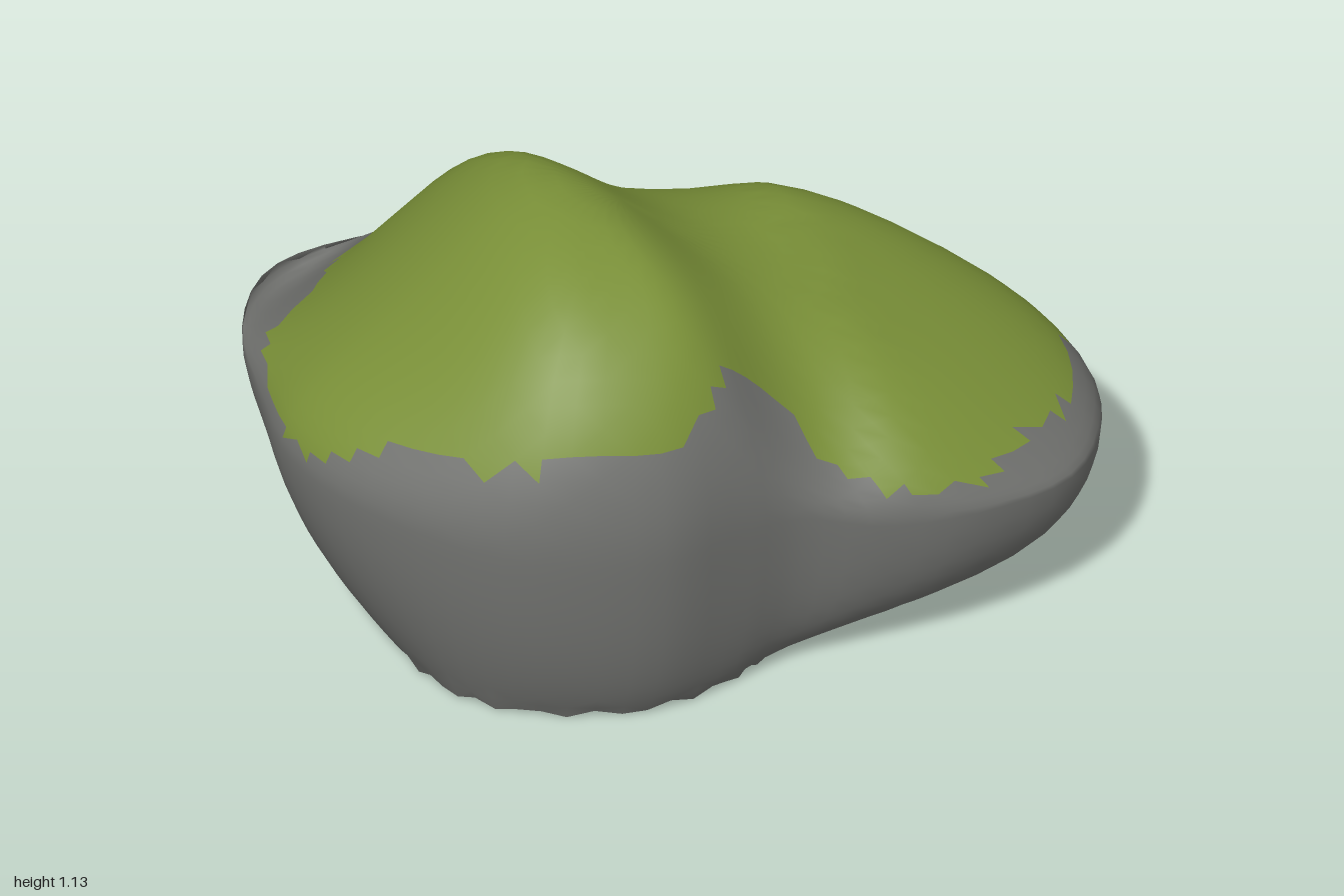
import * as THREE from 'three';

const stone = new THREE.MeshStandardMaterial({ color: 0x70716e, side: THREE.DoubleSide });
stone.name = 'grey stone';
const moss = new THREE.MeshStandardMaterial({ color: 0x7a9038, side: THREE.DoubleSide });
moss.name = 'green moss';

// Around the boulder: widest outline x, z, y; foot outline x, z; height where moss begins
const outline = [
  [1, 0.25, 0.38, 0.3, 0.15, 0.48],
  [0.9, 0, 0.42, 0.28, 0, 0.5],
  [0.6, -0.26, 0.5, 0.22, -0.15, 0.61],
  [0.25, -0.5, 0.55, 0.08, -0.28, 0.61],
  [-0.1, -0.66, 0.56, -0.12, -0.37, 0.61],
  [-0.5, -0.73, 0.56, -0.36, -0.41, 0.6],
  [-0.75, -0.69, 0.56, -0.55, -0.36, 0.6],
  [-0.9, -0.5, 0.55, -0.68, -0.24, 0.63],
  [-0.97, -0.22, 0.55, -0.75, -0.05, 0.6],
  [-1, 0, 0.55, -0.77, 0.1, 0.6],
  [-0.95, 0.22, 0.55, -0.76, 0.26, 0.66],
  [-0.8, 0.46, 0.54, -0.7, 0.42, 0.74],
  [-0.6, 0.63, 0.52, -0.55, 0.55, 0.76],
  [-0.32, 0.715, 0.5, -0.33, 0.63, 0.79],
  [-0.1, 0.68, 0.5, -0.12, 0.61, 0.84],
  [0.08, 0.655, 0.48, 0, 0.56, 0.82],
  [0.28, 0.7, 0.43, 0.12, 0.5, 0.52],
  [0.52, 0.725, 0.42, 0.2, 0.42, 0.5],
  [0.78, 0.66, 0.4, 0.26, 0.34, 0.49],
  [0.94, 0.48, 0.39, 0.29, 0.25, 0.5],
];
const loop = (fn) => new THREE.CatmullRomCurve3(outline.map(fn), true, 'catmullrom', 0.5);
const waist = loop(([x, z, y]) => new THREE.Vector3(x, y, z));
const foot = loop((p) => new THREE.Vector3(p[3], p[5], p[4])); // y carries the moss height

const AROUND = 72, LOWER = 12, UPPER = 18;
const CX = -0.12, CZ = 0;
const bump = (x, z, r) => Math.exp(-(x * x + z * z) / (r * r));

// Height of the top: a tall ridge, widening to the front, and a low shoulder beside it
function topHeight(x, z) {
  const right = x + 0.28 - 0.22 * z;
  const left = x + 0.28 + 0.2 * z;
  const ridge = 0.43 * Math.exp(-((Math.max(0, right) / 0.3) ** 2) - (Math.min(0, left) / 0.47) ** 2);
  const shoulder = 0.7 + 0.14 * THREE.MathUtils.smoothstep(right, 0, 0.5) - 0.36 * Math.max(0, x - 0.35);
  const fall = (z < 0 ? 0.72 : 0.5) * z * z;
  const swell = 0.05 * bump(x - 0.48, z + 0.2, 0.28);
  const notch = 0.14 * bump(x - 0.14, z - 0.62, 0.2);
  return ridge + shoulder - fall + swell - notch;
}

function boulderGeometry() {
  const pos = [], radial = [];
  const rings = LOWER + UPPER;
  for (let i = 0; i < rings; i++) {
    for (let j = 0; j < AROUND; j++) {
      const e = waist.getPoint(j / AROUND), b = foot.getPoint(j / AROUND);
      if (i < LOWER) {
        // underside: foot curving out to an upright waist
        const t = i / LOWER, q = (1 - t) ** 2, m = 1 - q;
        const y0 = i ? 0.01 : 0.01 + 0.01 * Math.sin(j * 2.4);
        const k = Math.min(0.7, 0.25 + 0.6 * Math.max(0, -e.z) + 0.33 * Math.min(0, e.x) ** 2);
        pos.push(
          q * b.x + m * e.x,
          q * y0 + 2 * t * (1 - t) * k * e.y + t * t * e.y,
          q * b.z + m * e.z);
        radial.push(1);
      } else {
        // top: rings shrinking to the middle, lifted to the height rule
        const s = Math.cos(((i - LOWER) / UPPER) * Math.PI / 2);
        const x = CX + (e.x - CX) * s, z = CZ + (e.z - CZ) * s;
        const f = Math.sqrt(Math.max(0, 1 - s ** 6));
        pos.push(x, e.y + (topHeight(x, z) - e.y) * f, z);
        radial.push(s);
      }
    }
  }
  const apex = pos.length / 3;
  pos.push(CX, topHeight(CX, CZ), CZ);
  radial.push(0);

  // Sort faces into stone and moss, leaving a ragged border
  const stoneFaces = [], mossFaces = [];
  const limits = Array.from({ length: AROUND }, (_, j) =>
    foot.getPoint((j + 0.5) / AROUND).y + 0.015 * Math.sin(j * 0.9));
  const face = (j, ...v) => {
    const y = v.reduce((n, k) => n + pos[k * 3 + 1], 0) / 3;
    const s = v.reduce((n, k) => n + radial[k], 0) / 3;
    (y > limits[j] || s < 0.75 ? mossFaces : stoneFaces).push(...v);
  };
  for (let i = 0; i < rings; i++) {
    for (let j = 0; j < AROUND; j++) {
      const n = (j + 1) % AROUND;
      const a = i * AROUND + j, b = i * AROUND + n;
      if (i === rings - 1) { face(j, a, b, apex); continue; }
      const c = b + AROUND, d = a + AROUND;
      if ((i + j) % 2) { face(j, a, b, c); face(j, a, c, d); }
      else { face(j, a, b, d); face(j, b, c, d); }
    }
  }
  const geo = new THREE.BufferGeometry();
  geo.setAttribute('position', new THREE.Float32BufferAttribute(pos, 3));
  geo.setIndex([...stoneFaces, ...mossFaces]);
  geo.addGroup(0, stoneFaces.length, 0);
  geo.addGroup(stoneFaces.length, mossFaces.length, 1);
  geo.computeVertexNormals();
  return geo;
}

export function createModel() {
  const group = new THREE.Group();
  group.name = 'mossyBoulder';
  const boulder = new THREE.Mesh(boulderGeometry(), [stone, moss]);
  boulder.name = 'boulder';
  group.add(boulder);
  return group;
}
